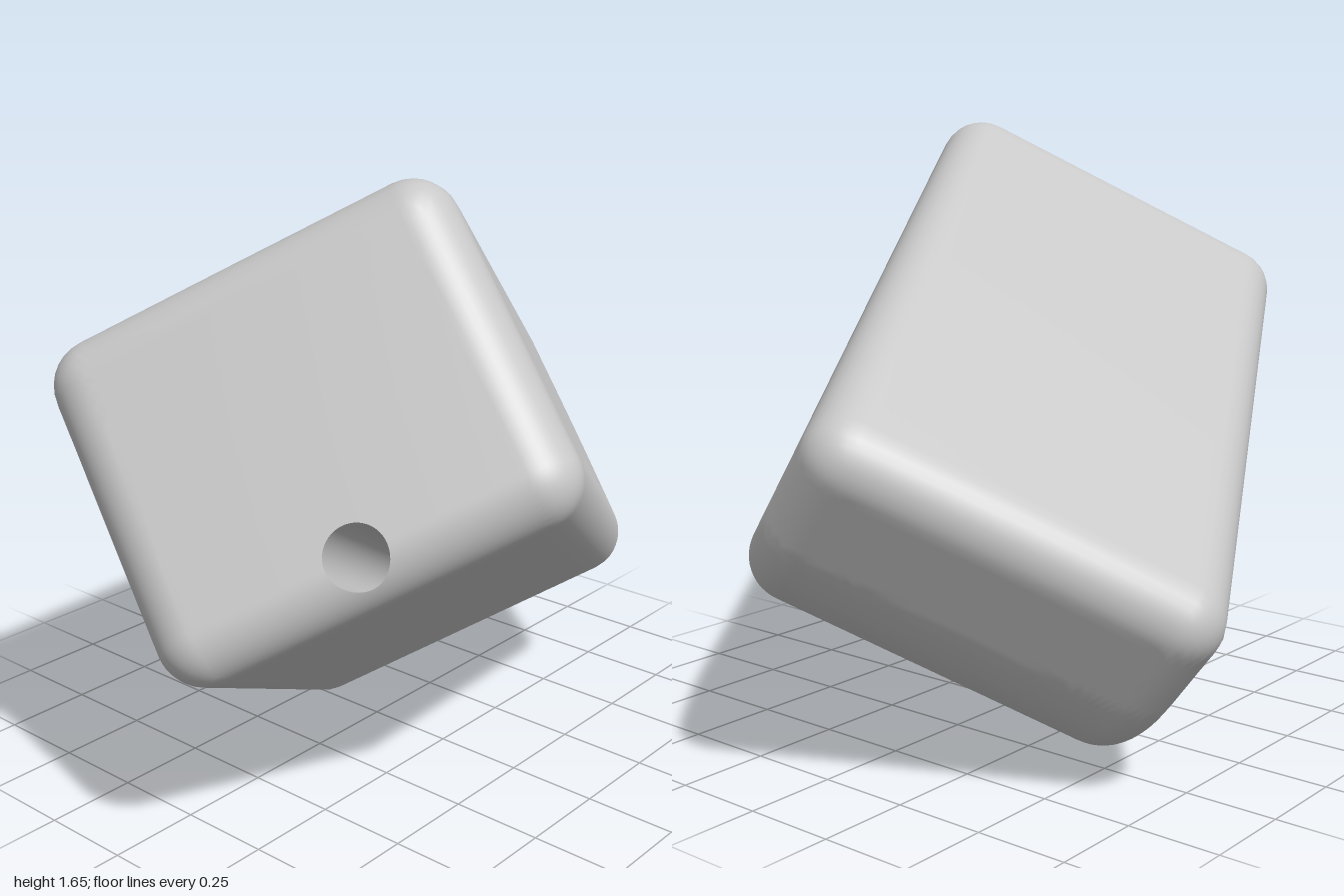
import * as THREE from 'three';

// Rounded block: five-sided profile (one corner chamfered) swept across its depth,
// all edges filleted, with a round bore along its length.
const FILLET = 0.12, HALF_DEPTH = 0.424;
const BORE_Y = 0.34, BORE_R = 0.078;
const AROUND = 240, ALONG = 150;

// The chamfer blends into the end face through a soft curve
const blend = new THREE.QuadraticBezierCurve(
  new THREE.Vector2(0.737, -0.11), new THREE.Vector2(0.737, 0.02), new THREE.Vector2(0.61, 0.138));
const PROFILE = [
  [-0.737, -0.335], [0.737, -0.335],
  ...blend.getPoints(8).map((p) => [p.x, p.y]),
  [0.397, 0.335], [-0.737, 0.335]
];

// Signed distance to the convex profile
function profileDistance(x, y) {
  let best = Infinity, inside = true;
  PROFILE.forEach(([ax, ay], i) => {
    const [bx, by] = PROFILE[(i + 1) % PROFILE.length];
    const ex = bx - ax, ey = by - ay, px = x - ax, py = y - ay;
    const t = Math.min(1, Math.max(0, (px * ex + py * ey) / (ex * ex + ey * ey)));
    best = Math.min(best, Math.hypot(px - ex * t, py - ey * t));
    if (ex * py - ey * px < 0) inside = false;
  });
  return inside ? -best : best;
}

// Signed distance to the filleted block
function blockDistance(x, y, z) {
  const d = profileDistance(x, y), h = Math.abs(z) - HALF_DEPTH;
  return Math.hypot(Math.max(d, 0), Math.max(h, 0)) + Math.min(Math.max(d, h), 0) - FILLET;
}

// Distance along a ray from an inner point to the skin
function reach(o, v, limit) {
  let lo = 0, hi = limit;
  for (let i = 0; i < 26; i++) {
    const t = (lo + hi) / 2;
    if (blockDistance(o[0] + v[0] * t, o[1] + v[1] * t, o[2] + v[2] * t) < 0) lo = t;
    else hi = t;
  }
  return lo;
}

function skinNormal([x, y, z]) {
  const e = 1e-4;
  return new THREE.Vector3(
    blockDistance(x + e, y, z) - blockDistance(x - e, y, z),
    blockDistance(x, y + e, z) - blockDistance(x, y - e, z),
    blockDistance(x, y, z + e) - blockDistance(x, y, z - e)
  ).normalize().toArray();
}

// Surface from rows of points with a normal rule
function gridGeometry(rows, normalOf) {
  const positions = [], normals = [], index = [], n = rows[0].length;
  rows.forEach((row, i) => row.forEach((p, j) => {
    positions.push(...p);
    normals.push(...normalOf(p, j));
    if (i < rows.length - 1 && j < n - 1) {
      const a = i * n + j, c = a + n;
      index.push(a, a + 1, c, a + 1, c + 1, c);
    }
  }));
  const g = new THREE.BufferGeometry();
  g.setAttribute('position', new THREE.Float32BufferAttribute(positions, 3));
  g.setAttribute('normal', new THREE.Float32BufferAttribute(normals, 3));
  g.setIndex(index);
  return g;
}

export function createModel() {
  const grey = new THREE.MeshStandardMaterial({ color: 0xc8c8c8 });
  grey.name = 'light grey';

  // Rows run from one bore mouth over the skin to the other mouth
  const rows = Array.from({ length: ALONG + 1 }, () => []);
  const stretch = 0.85;
  for (let j = 0; j <= AROUND; j++) {
    const a = (j / AROUND) * Math.PI * 2, cy = Math.cos(a), cz = Math.sin(a);
    const d = reach([0, BORE_Y, 0], [0, cy, cz], 2);
    const rim = [0, BORE_Y + BORE_R * cy, BORE_R * cz];
    const start = Math.atan2(BORE_R / d, reach(rim, [-1, 0, 0], 2) / stretch);
    const end = Math.atan2(BORE_R / d, -reach(rim, [1, 0, 0], 2) / stretch);
    for (let i = 0; i <= ALONG; i++) {
      const f = start + (end - start) * i / ALONG;
      const s = d * Math.sin(f);
      const v = [-stretch * Math.cos(f), s * cy, s * cz];
      const t = reach([0, BORE_Y, 0], v, 6);
      rows[i].push([v[0] * t, BORE_Y + v[1] * t, v[2] * t]);
    }
  }
  const body = new THREE.Mesh(gridGeometry(rows, skinNormal), grey);
  body.name = 'roundedBody';

  // Inner wall of the bore, joining both mouths
  const wall = gridGeometry([rows[ALONG], rows[0]], (p, j) => {
    const a = (j / AROUND) * Math.PI * 2;
    return [0, -Math.cos(a), -Math.sin(a)];
  });
  const bore = new THREE.Mesh(wall, grey);
  bore.name = 'boreWall';

  // Tilt the block onto its lower corner
  const block = new THREE.Group();
  block.name = 'tiltedBlock';
  block.add(body, bore);
  const length = new THREE.Vector3(0.797, -0.45, -0.403).normalize();
  const depth = length.clone().cross(new THREE.Vector3(-0.121, -0.767, 0.629)).normalize();
  const width = depth.clone().cross(length);
  block.quaternion.setFromRotationMatrix(new THREE.Matrix4().makeBasis(length, width, depth));
  block.position.y = 0.75;

  const model = new THREE.Group();
  model.name = 'boredBlock';
  model.add(block);
  return model;
}
